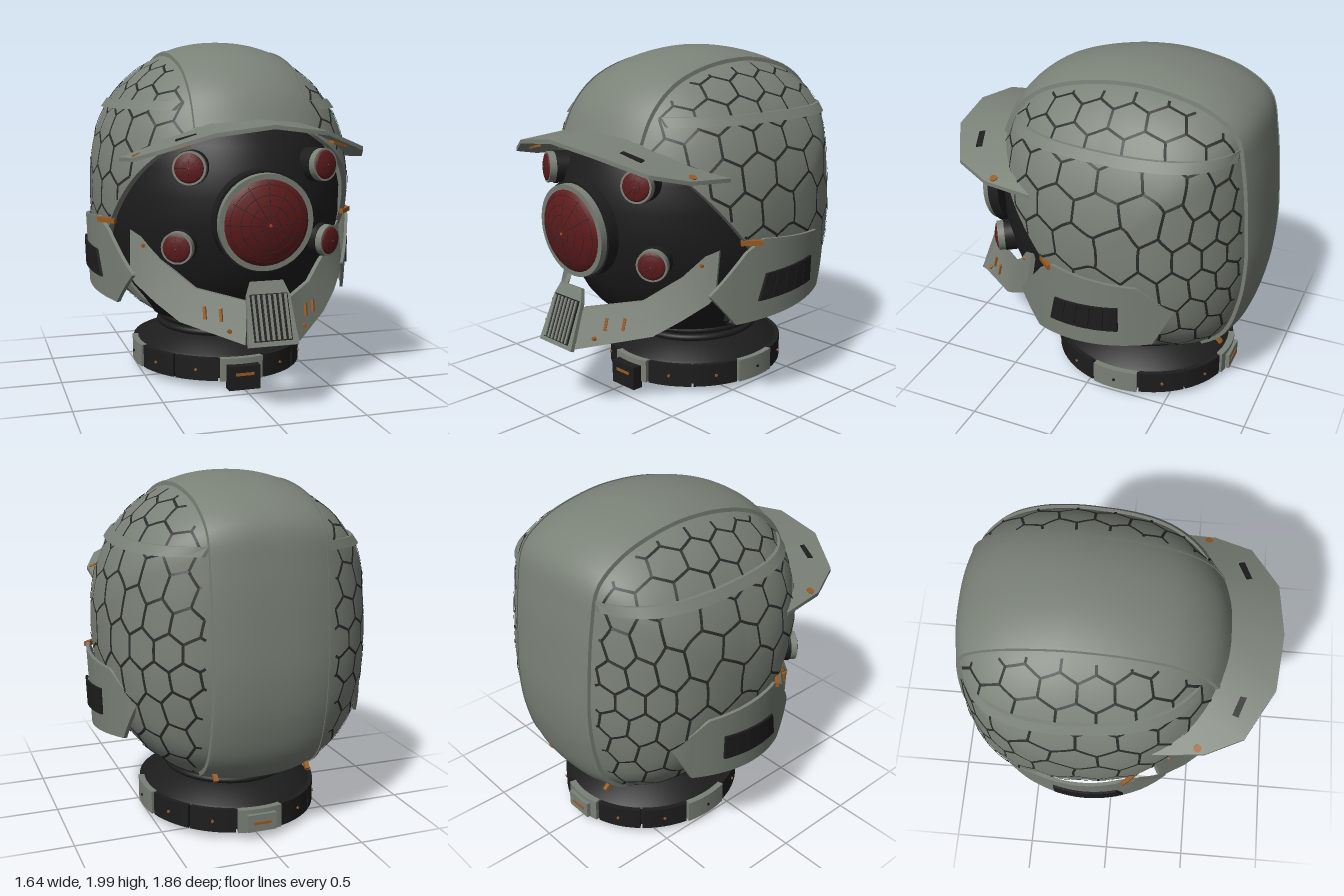
import * as THREE from 'three';
import { mergeVertices, mergeGeometries, toCreasedNormals } from 'three/addons/utils/BufferGeometryUtils.js';

const mat = (name, color) => new THREE.MeshStandardMaterial({ name, color, side: THREE.DoubleSide });
const V = (x, y, z) => new THREE.Vector3(x, y, z);
const lerp = THREE.MathUtils.lerp;

// Piecewise linear lookup in [[key, value], ...] with rising keys
function look(tab, k) {
  let i = 1;
  while (i < tab.length - 1 && tab[i][0] < k) i++;
  const [a, b] = [tab[i - 1], tab[i]];
  return lerp(a[1], b[1], (k - a[0]) / (b[0] - a[0]));
}

// Surface through rows of points
function grid(rows, crease) {
  const n = rows[0].length, idx = [];
  for (let i = 0; i < rows.length - 1; i++) for (let j = 0; j < n - 1; j++) {
    const a = i * n + j, b = a + n;
    idx.push(a, b, a + 1, b, b + 1, a + 1);
  }
  let g = new THREE.BufferGeometry();
  g.setAttribute('position', new THREE.Float32BufferAttribute(rows.flat().flatMap(p => [p.x, p.y, p.z]), 3));
  g.setIndex(idx);
  g = mergeVertices(g, 1e-5);
  g.computeVertexNormals();
  return crease ? toCreasedNormals(g, crease) : g;
}

// Solid plate along pairs of edge points, thickened by vector d
function slab(pairs, d) {
  const rows = pairs.map(([u, l]) => [u, l, l.clone().add(d), u.clone().add(d), u]);
  const cap = r => { const c = r[0].clone().add(r[2]).multiplyScalar(0.5); return r.map(() => c); };
  return grid([cap(rows[0]), ...rows, cap(rows[rows.length - 1])], 0.5);
}

// Side profile of the helmet in polar form about (CZ, CY), as [z, y]
const CZ = -0.15, CY = 1.1, W = 0.765, K = 0.988, TAU = Math.PI * 2;
const profile = [[0.62, 1.55], [0.53, 1.72], [0.37, 1.86], [0.13, 1.95], [-0.18, 1.99], [-0.45, 1.96], [-0.68, 1.885],
  [-0.835, 1.76], [-0.885, 1.55], [-0.92, 1.2], [-0.93, 0.95], [-0.905, 0.7], [-0.83, 0.47], [-0.69, 0.345], [-0.4, 0.27],
  [-0.1, 0.26], [0.2, 0.33], [0.45, 0.53], [0.62, 0.8], [0.68, 1.1], [0.68, 1.35]];
const polar = new THREE.CatmullRomCurve3(profile.map(([z, y]) => V(0, y, z)), true).getPoints(500)
  .map(p => [(Math.atan2(p.y - CY, p.z - CZ) + TAU) % TAU, Math.hypot(p.y - CY, p.z - CZ)]).sort((a, b) => a[0] - b[0]);
const R = th => look(polar, (th % TAU + TAU) % TAU);
// Superellipse from side to side, squarer towards the back
const power = th => 2.2 + 0.35 * Math.max(0, -Math.cos(th));
const other = (s, th) => Math.pow(1 - Math.pow(Math.min(1, s), power(th)), 1 / power(th));
const onShell = (th, s, k = K, x = W * other(s, th)) => V(x, CY + Math.sin(th) * R(th) * s * k, CZ + Math.cos(th) * R(th) * s * k);
const onBand = (th, x, k) => onShell(th, other(Math.abs(x) / W, th), k, x);
const shellX = (y, z) => {
  const th = Math.atan2(y - CY, z - CZ);
  return W * other(Math.hypot(y - CY, z - CZ) / (R(th) * K), th);
};

// Where the shell stops: face opening and flat underside
function limit(th) {
  const c = Math.cos(th), s = Math.sin(th);
  const cut = (az, ay, bz, by) => {
    const nz = ay - by, ny = bz - az;
    const q = (nz * (az - CZ) + ny * (ay - CY)) / (nz * c + ny * s);
    return q > 0 ? q : 9;
  };
  const face = Math.max(cut(0.58, 1.5, 0.15, 0.98), cut(-0.04, 0.6, -0.09, 0.36));
  return Math.min(face, cut(-0.08, 0.355, -0.68, 0.355)) / (R(th) * K);
}

export function createModel() {
  const grey = mat('armourGrey', 0x7a8177), black = mat('softBlack', 0x1d1d1d), red = mat('lensRed', 0x611a1c);
  const copper = mat('copper', 0x9a5a22), groove = mat('grooveDark', 0x282b28);
  const root = new THREE.Group();
  const add = (name, geo, m, parent = root) => {
    const o = new THREE.Mesh(geo, m); o.name = name; parent.add(o); return o;
  };
  const box = (name, m, size, pos, rot = [0, 0, 0], parent = root) => {
    const o = add(name, new THREE.BoxGeometry(...size), m, parent);
    o.position.set(...pos); o.rotation.set(...rot); return o;
  };
  const disc = (r, z0, z1) => new THREE.CylinderGeometry(r, r, z1 - z0, 40).rotateX(Math.PI / 2).translate(0, 0, (z0 + z1) / 2);

  // Centre band over the crown
  const bandRows = [], rimRows = [];
  for (let i = 0; i <= 72; i++) {
    const th = lerp(0.53, 4.09, i / 72), row = [];
    for (let j = -12; j <= 12; j++) row.push(onBand(th, j / 12 * 0.32, 1.005));
    bandRows.push(row);
    rimRows.push([[0.315, 0.97], [0.315, 1.013], [0.33, 1.013], [0.335, 0.97]].map(([x, k]) => onBand(th, x, k)));
  }
  add('crownBand', grid(bandRows), grey);

  // Left half parts, mirrored for the right
  const half = new THREE.Group();
  add('bandRim', grid(rimRows, 0.6), grey, half);
  const rows = [];
  for (let i = 0; i <= 144; i++) {
    const th = i / 144 * TAU, end = Math.min(limit(th), other(0.31 / W, th)), row = [];
    for (let j = 0; j <= 24; j++) row.push(onShell(th, end * Math.sin(j / 24 * Math.PI / 2)));
    const lip = row[24].clone(); lip.x -= 0.03; row.push(lip);
    rows.push(row);
  }
  add('sideShell', grid(rows, 0.8), grey, half);

  // Honeycomb grooves: hex lattice wrapped around the side pole
  const strips = [];
  const wrap = (a, b) => {
    const th = Math.atan2(b, a), phi = Math.min(Math.hypot(a, b) / 0.9, 1.57);
    return [th, Math.pow(Math.sin(phi), 2 / power(th))];
  };
  const line = (a, b, w) => {
    const t = b.clone().sub(a), n = a.clone().sub(V(0, CY, CZ)).normalize();
    const side = t.cross(n).normalize().multiplyScalar(w / 2);
    n.multiplyScalar(0.004);
    strips.push(grid([a, b].map(p => [p.clone().add(n).add(side), p.clone().add(n).sub(side)])));
  };
  const hw = 0.22, hs = hw / Math.sqrt(3);
  for (let r = -8; r <= 8; r++) for (let q = -8; q <= 8; q++) {
    const a0 = (q + 0.39 + (r & 1) / 2) * hw, b0 = r * hs * 1.5 + 0.03;
    const corner = k => [a0 + hs * Math.cos(Math.PI / 6 + k * Math.PI / 3), b0 + hs * Math.sin(Math.PI / 6 + k * Math.PI / 3)];
    for (let k = 0; k < 3; k++) {
      const [p, e] = [corner(k), corner(k + 1)];
      for (let i = 0; i < 6; i++) {
        const [u, v] = [i / 6, (i + 1) / 6].map(f => wrap(lerp(p[0], e[0], f), lerp(p[1], e[1], f)));
        if ([u, v].every(([th, s]) => s < other(0.36 / W, th) && s < limit(th) - 0.01)) line(onShell(...u), onShell(...v), 0.015);
      }
    }
  }
  add('honeycombGrooves', mergeGeometries(strips), groove, half);

  // Horizontal strap
  const strap = [];
  for (let i = 0; i <= 36; i++) {
    const z = lerp(0.46, -0.82, i / 36);
    strap.push([V(shellX(1.66, z) + 0.02, 1.66, z), V(shellX(1.61, z) + 0.025, 1.61, z)]);
  }
  add('sideStrap', slab(strap, V(-0.05, 0, 0)), grey, half);

  // Curved ear plate with a vent
  const earX = (y, z) => 0.808 - 0.7 * (z + 0.15) ** 2 - 0.3 * Math.min(0, y - 0.8) ** 2;
  const earTop = [[-0.605, 0.81], [-0.42, 0.96], [0.07, 1.0], [0.165, 0.93], [0.34, 0.7]];
  const earBottom = [[-0.605, 0.8], [-0.5, 0.59], [0.2, 0.515], [0.34, 0.69]];
  const ear = [];
  for (let i = 0; i <= 54; i++) {
    const z = lerp(-0.605, 0.34, i / 54), t = look(earTop, z), b = look(earBottom, z);
    ear.push([V(earX(t, z), t, z), V(earX(b, z), b, z)]);
  }
  add('earPlate', slab(ear, V(-0.02, 0, 0)), grey, half);
  for (let i = 0; i < 5; i++) {
    const pts = [0, 0.48, 0.96].map(f => {
      const k = (i + f) / 5, zt = lerp(0.05, -0.33, k), zb = lerp(0.09, -0.33, k);
      const t = lerp(0.8, 0.83, k), b = lerp(0.645, 0.68, k);
      return [V(earX(t, zt) + 0.01, t, zt), V(earX(b, zb) + 0.01, b, zb)];
    });
    add('earVent', slab(pts, V(-0.014, 0, 0)), black, half);
  }
  box('hingeClip', copper, [0.025, 0.028, 0.12], [0.735, 0.98, 0.125], [0.05, -0.75, 0], half);

  // Jaw guard arm
  const jaw = [[0.63, 0.94, 0.27, 0.64, 0.69, 0.31], [0.58, 0.91, 0.33, 0.62, 0.65, 0.34], [0.49, 0.79, 0.42, 0.53, 0.56, 0.46],
    [0.33, 0.65, 0.57, 0.42, 0.47, 0.57], [0.12, 0.62, 0.81, 0.15, 0.41, 0.9]].map(p => [V(p[0], p[1], p[2]), V(p[3], p[4], p[5])]);
  add('jawArm', slab(jaw, V(-0.012, 0, -0.025)), grey, half);
  for (const [x, z] of [[0.24, 0.752], [0.31, 0.682]]) box('jawMark', copper, [0.016, 0.07, 0.012], [x, 0.54, z], [-0.25, 0.7, 0], half);
  for (const [x, y, z] of [[0.21, 0.465, 0.812], [0.57, 0.86, 0.345]])
    add('jawScrew', disc(0.011, -0.01, 0.008), copper, half).position.set(x, y, z);

  // Brim slot, its underside mark and screw
  box('brimSlot', black, [0.13, 0.014, 0.035], [0.4, 1.477, 0.69], [0.15, 0.3, -0.33], half);
  box('brimMark', copper, [0.1, 0.014, 0.04], [0.44, 1.43, 0.69], [0.15, 0.3, -0.3], half);
  const screw = add('brimScrew', new THREE.CylinderGeometry(0.022, 0.022, 0.02, 16), copper, half);
  screw.position.set(0.63, 1.372, 0.48); screw.rotation.z = -0.4;
  box('napeMark', copper, [0.025, 0.09, 0.02], [0.27, 0.41, -0.735], [0.8, 0, 0], half);

  half.name = 'leftSide';
  const mirror = half.clone(); mirror.name = 'rightSide'; mirror.scale.x = -1;
  root.add(half, mirror);

  // Brim
  const outer = [[0, 0.91, 1.548], [0.31, 0.88, 1.508], [0.57, 0.73, 1.415], [0.66, 0.52, 1.365], [0.68, 0.24, 1.345]];
  const inner = [[0, 0.59, 1.565], [0.25, 0.56, 1.545], [0.42, 0.42, 1.48], [0.57, 0.29, 1.405], [0.64, 0.2, 1.365]];
  const brim = [];
  for (let i = -4; i <= 4; i++) {
    const s = Math.sign(i), o = outer[Math.abs(i)], n = inner[Math.abs(i)];
    brim.push([V(n[0] * s, n[2], n[1]), V(o[0] * s, o[2], o[1])]);
  }
  add('brim', slab(brim, V(0, -0.022, 0)), grey);

  // Face mask from horizontal arcs: [y, front z, half width, rear z]
  const mask = [[0.37, 0.3, 0.42, -0.08], [0.39, 0.33, 0.45, -0.02], [0.44, 0.39, 0.5, 0.05], [0.51, 0.47, 0.56, 0.09], [0.58, 0.53, 0.605, 0.07],
    [0.7, 0.6, 0.66, 0.02], [0.85, 0.655, 0.705, 0.02], [1.0, 0.685, 0.725, 0.08], [1.15, 0.69, 0.725, 0.2], [1.3, 0.665, 0.71, 0.33],
    [1.42, 0.61, 0.685, 0.42], [1.49, 0.56, 0.665, 0.47], [1.53, 0.53, 0.65, 0.5]];
  add('faceMask', grid(mask.map(([y, f, w, b]) => {
    const am = Math.acos((b - CZ) / (f - CZ)), row = [];
    for (let j = -20; j <= 20; j++) row.push(V(w * Math.sin(am * j / 20), y, CZ + (f - CZ) * Math.cos(am * j / 20)));
    return row;
  })), black);

  // Lenses: housing, ring, domed glass with a fine web of lines
  function lens(name, r, depth, dome, pos, rot, rings, spokes, fine) {
    const g = new THREE.Group(); g.name = name; root.add(g);
    g.position.set(...pos); g.rotation.set(...rot);
    const h = q => 0.085 + dome * (1 - q * q), rg = r * 0.91;
    add('housing', disc(r * 1.05, -depth, 0.05), black, g);
    add('ring', disc(r, 0.05, 0.09), grey, g);
    const cap = [0, 0.2, 0.4, 0.6, 0.8, 0.92, 1].map(q => new THREE.Vector2(q * rg, h(q) + (q < 1 ? 0.008 : 0)));
    add('glass', new THREE.LatheGeometry(cap, 40).rotateX(Math.PI / 2), red, g);
    const web = [];
    for (let i = 1; i <= rings; i++) {
      const q = i / (rings + 0.6);
      web.push(new THREE.TorusGeometry(q * rg, fine, 4, 40).translate(0, 0, h(q) + 0.008));
    }
    for (let i = 0; i < spokes; i++) {
      const a = i / spokes * TAU, pts = [0.12, 0.4, 0.7, 0.93].map(q => V(Math.cos(a) * q * rg, Math.sin(a) * q * rg, h(q) + 0.008));
      web.push(new THREE.TubeGeometry(new THREE.CatmullRomCurve3(pts), 8, fine, 4));
    }
    add('glassLines', mergeGeometries(web), groove, g);
    add('lensPin', disc(r * 0.03, 0.08, 0.098 + dome), copper, g);
  }
  lens('mainLens', 0.262, 0.02, 0.06, [0, 1.035, 0.7], [0.07, 0, 0], 4, 12, 0.0018);
  for (const s of [1, -1]) {
    lens('upperLens', 0.09, 0.09, 0.015, [0.35 * s, 1.31, 0.57], [-0.05, 0.4 * s, 0], 2, 8, 0.0008);
    lens('lowerLens', 0.088, 0.08, 0.015, [0.395 * s, 0.885, 0.52], [0.05, 0.55 * s, 0], 2, 8, 0.0008);
  }

  // Mouth grille
  const grille = new THREE.Group(); grille.name = 'mouthGrille'; root.add(grille);
  grille.position.set(0, 0.555, 0.85); grille.rotation.x = -0.37;
  const plate = new THREE.Shape([[-0.14, -0.17], [0.14, -0.17], [0.12, 0.1], [0.09, 0.175], [-0.09, 0.175], [-0.12, 0.1]].map(p => new THREE.Vector2(...p)));
  add('grillePlate', new THREE.ExtrudeGeometry(plate, { depth: 0.025, bevelEnabled: false }).translate(0, 0, -0.015), grey, grille);
  for (const z of [0.012, -0.017]) box('grilleBacking', black, [0.21, 0.25, 0.008], [0, -0.02, z], [0, 0, 0], grille);
  for (let i = -3; i <= 3; i++) box('grilleBar', grey, [0.014, 0.24, 0.012], [i * 0.03, -0.02, 0.018], [0, 0, 0], grille);

  // Neck and collar, slightly longer than wide
  const neck = new THREE.Group(); neck.name = 'neck'; root.add(neck);
  neck.position.z = -0.19; neck.scale.z = 1.08;
  const lathe = [[0.01, 0.375], [0.38, 0.375], [0.35, 0.355], [0.35, 0.26], [0.375, 0.25], [0.48, 0.185], [0.495, 0.17], [0.495, 0.05], [0.465, 0.05], [0.465, 0.17], [0.34, 0.25], [0.34, 0.36]];
  add('neckTube', toCreasedNormals(new THREE.LatheGeometry(lathe.map(p => new THREE.Vector2(...p)), 64), 0.6), black, neck);
  for (const y of [0.28, 0.327]) add('neckRing', new THREE.TorusGeometry(0.35, 0.02, 10, 64).rotateX(Math.PI / 2).translate(0, y, 0), black, neck);
  for (let i = 0; i < 12; i++) {
    const a = i * Math.PI / 6, main = i % 3 === 0, r = main ? 0.525 : 0.517, pts = [];
    for (let j = 0; j <= 6; j++) {
      const b = a + (j / 6 - 0.5) * 0.5;
      pts.push([0.475, r].map(q => V(Math.sin(b) * q, 0.04, Math.cos(b) * q)));
    }
    add('collarPanel', slab(pts, V(0, 0.135, 0)), main ? grey : black, neck);
    const pin = add('collarScrew', disc(0.008, 0, 0.008), main ? black : copper, neck);
    pin.position.set(Math.sin(a) * r, 0.105, Math.cos(a) * r); pin.rotation.y = a;
  }
  box('frontLatch', black, [0.19, 0.14, 0.06], [0, 0.07, 0.54], [0, 0, 0], neck);
  box('latchMark', copper, [0.11, 0.016, 0.008], [0, 0.093, 0.571], [0, 0, 0], neck);
  box('rearLatch', grey, [0.17, 0.1, 0.04], [0, 0.1, -0.522], [0, 0, 0], neck);
  box('latchMark', copper, [0.1, 0.016, 0.008], [0, 0.1, -0.543], [0, 0, 0], neck);
  return root;
}
